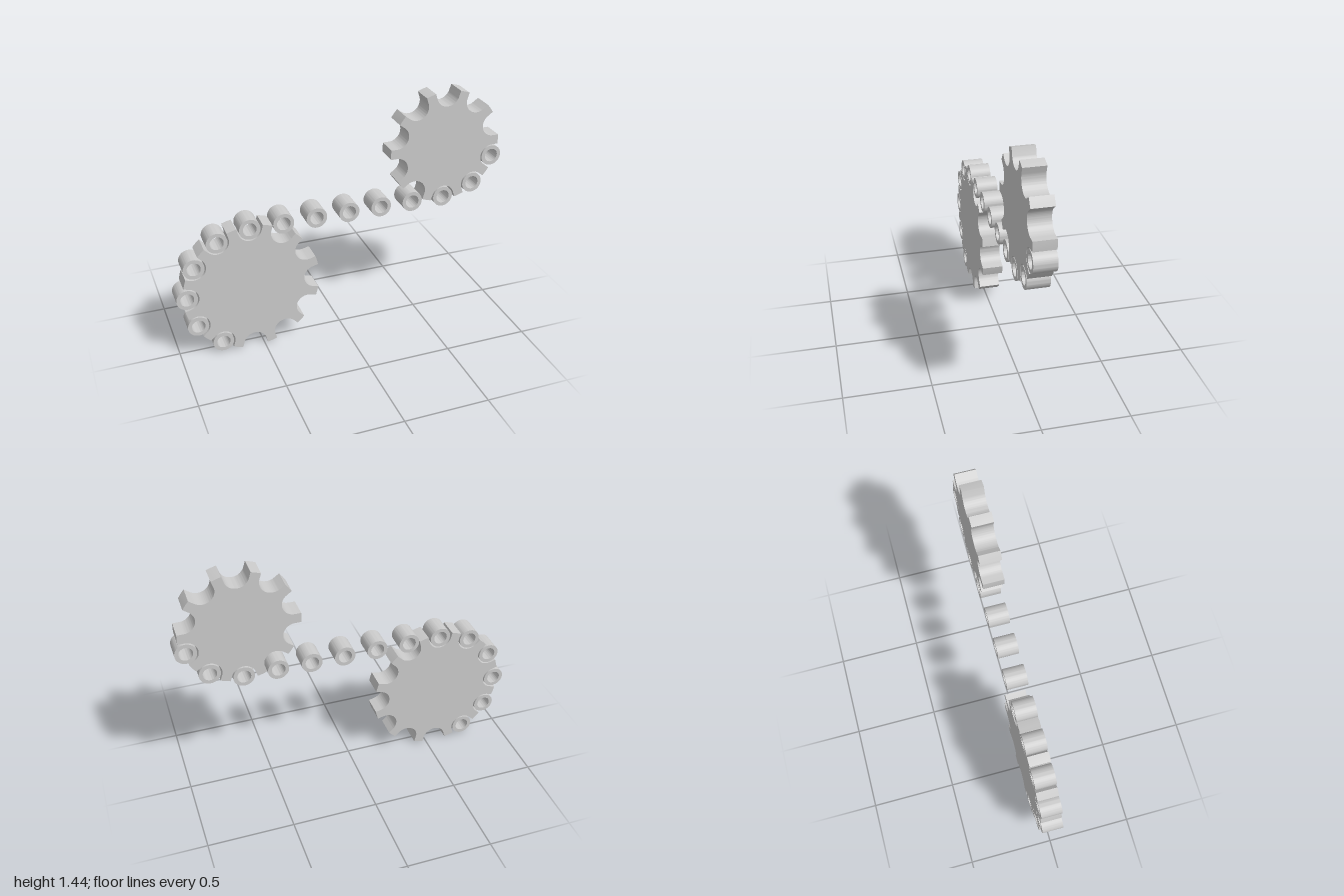
import * as THREE from 'three';
import { toCreasedNormals } from 'three/addons/utils/BufferGeometryUtils.js';

const PITCH = 0.1981;          // distance between neighbouring rollers
const ROLLER_R = 0.0618;
const HOLE_R = 0.04;
const GROOVE_R = 0.07;
const WIDTH = 0.125;

const material = new THREE.MeshStandardMaterial({ color: 0xcccccc });
const pitchRadius = (teeth) => PITCH / (2 * Math.sin(Math.PI / teeth));

// Extrude a front-view shape, centred on z = 0, with smooth curved walls
function plate(shape, segments) {
  const geometry = new THREE.ExtrudeGeometry(shape, {
    depth: WIDTH, bevelEnabled: false, curveSegments: segments,
  });
  geometry.translate(0, 0, -WIDTH / 2);
  return toCreasedNormals(geometry, 0.45);
}

// Round grooves on the pitch circle, joined by straight-sided teeth
function sprocketShape(teeth, tipRadius) {
  const step = (2 * Math.PI) / teeth;
  const r = pitchRadius(teeth);
  const halfTooth = Math.asin((r * Math.sin(step / 2) - GROOVE_R) / tipRadius);
  const shape = new THREE.Shape();
  for (let i = 0; i < teeth; i++) {
    const a = Math.PI / 2 + i * step;
    const tooth = a - step / 2;
    // Tooth tip, then down its side into the groove
    for (const t of [tooth - halfTooth, tooth, tooth + halfTooth]) {
      const x = tipRadius * Math.cos(t), y = tipRadius * Math.sin(t);
      if (i === 0 && t < tooth) shape.moveTo(x, y);
      else shape.lineTo(x, y);
    }
    // Groove floor, tangent to the flanks of both neighbouring teeth
    const sweep = Math.PI / 2 + step / 2;
    shape.absarc(r * Math.cos(a), r * Math.sin(a), GROOVE_R, a - sweep, a + sweep, true);
  }
  shape.closePath();
  return shape;
}

export function createModel() {
  const model = new THREE.Group();
  model.name = 'chainDrive';
  const add = (geometry, name, x, y) => {
    const mesh = new THREE.Mesh(geometry, material);
    mesh.name = name;
    mesh.position.set(x, y, 0);
    model.add(mesh);
  };

  // Two sprockets, their pitch circles touching the straight chain run
  const bigR = pitchRadius(12), smallR = pitchRadius(10);
  const bigX = -1 + bigR + ROLLER_R, bigY = 0.3986;
  const smallX = bigX + 6 * PITCH, chainY = bigY + bigR;
  const smallY = chainY + smallR;
  add(plate(sprocketShape(12, 0.406), 20), 'largeSprocket', bigX, bigY);
  add(plate(sprocketShape(10, 0.343), 20), 'smallSprocket', smallX, smallY);

  // Hollow chain roller
  const ring = new THREE.Shape().absarc(0, 0, ROLLER_R, 0, 2 * Math.PI, false);
  ring.holes.push(new THREE.Path().absarc(0, 0, HOLE_R, 0, 2 * Math.PI, true));
  const rollerGeometry = plate(ring, 48);
  const roller = (x, y) => add(rollerGeometry, 'chainRoller', x, y);

  // Rollers wrapped around the large sprocket
  for (let i = 1; i <= 5; i++) {
    const a = Math.PI / 2 + (i * Math.PI) / 6;
    roller(bigX + bigR * Math.cos(a), bigY + bigR * Math.sin(a));
  }
  // Straight run between the sprockets
  for (let i = 0; i <= 6; i++) roller(bigX + i * PITCH, chainY);
  // Rollers wrapped around the small sprocket
  for (let i = 1; i <= 2; i++) {
    const a = -Math.PI / 2 + (i * Math.PI) / 5;
    roller(smallX + smallR * Math.cos(a), smallY + smallR * Math.sin(a));
  }
  return model;
}
